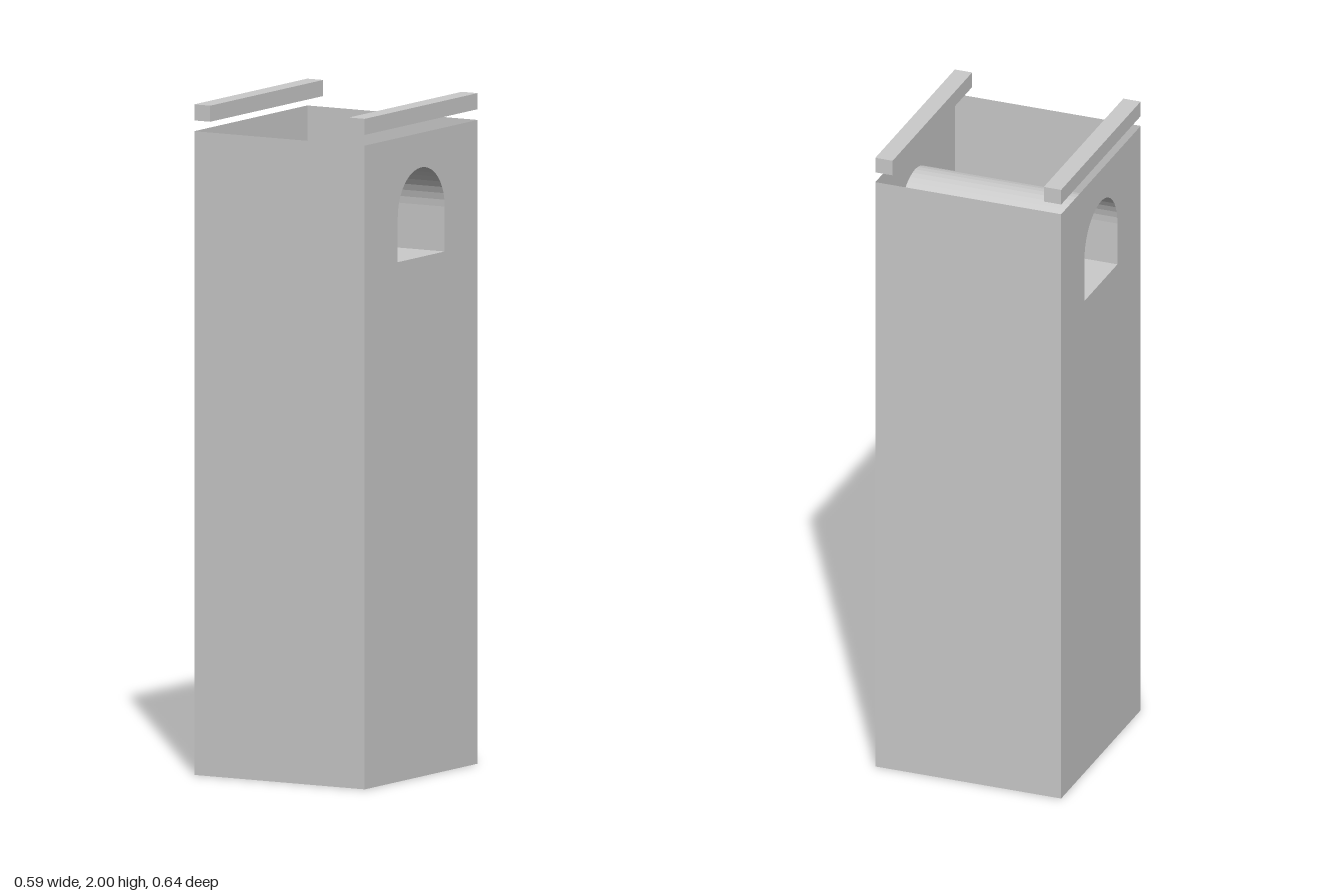
import * as THREE from 'three';

const HALF_X = 0.295, HALF_Z = 0.32, WALL_TOP = 1.92;
const ARCH_R = 0.133, ARCH_BASE = 1.55, ARCH_SPRING = 1.684, ARCH_SEGMENTS = 20;

const solid = new THREE.MeshStandardMaterial({ color: 0xcccccc, flatShading: true });
const sheet = new THREE.MeshStandardMaterial({ color: 0xcccccc, flatShading: true, side: THREE.DoubleSide });

function addMesh(parent, name, geometry, material, x = 0, y = 0, z = 0) {
  const mesh = new THREE.Mesh(geometry, material);
  mesh.name = name;
  mesh.position.set(x, y, z);
  parent.add(mesh);
  return mesh;
}

// Arch outline in the wall plane: flat sill, straight jambs, round head
function archPoints() {
  const points = [new THREE.Vector2(-ARCH_R, ARCH_BASE), new THREE.Vector2(ARCH_R, ARCH_BASE)];
  for (let i = 0; i <= ARCH_SEGMENTS; i++) {
    const a = (i / ARCH_SEGMENTS) * Math.PI;
    points.push(new THREE.Vector2(ARCH_R * Math.cos(a), ARCH_SPRING + ARCH_R * Math.sin(a)));
  }
  return points;
}

// Arch outline swept across the shaft, open at both ends
function tunnelGeometry() {
  const outline = archPoints();
  const positions = [], indices = [];
  outline.forEach((p, i) => {
    positions.push(-HALF_X, p.y, p.x, HALF_X, p.y, p.x);
    const a = i * 2, b = ((i + 1) % outline.length) * 2;
    indices.push(a, a + 1, b, b, a + 1, b + 1);
  });
  const geometry = new THREE.BufferGeometry();
  geometry.setAttribute('position', new THREE.Float32BufferAttribute(positions, 3));
  geometry.setIndex(indices);
  const flat = geometry.toNonIndexed();
  flat.computeVertexNormals();
  return flat;
}

export function createModel() {
  const model = new THREE.Group();
  model.name = 'tower';

  // Side wall with the arched opening cut through
  const wall = new THREE.Shape([
    new THREE.Vector2(-HALF_Z, 0), new THREE.Vector2(HALF_Z, 0),
    new THREE.Vector2(HALF_Z, WALL_TOP), new THREE.Vector2(-HALF_Z, WALL_TOP),
  ]);
  wall.holes.push(new THREE.Path(archPoints().reverse()));
  const sideWall = new THREE.ShapeGeometry(wall);
  const endWall = new THREE.PlaneGeometry(HALF_X * 2, WALL_TOP);
  const rail = new THREE.BoxGeometry(0.055, 0.048, HALF_Z * 2);

  for (const s of [1, -1]) {
    const label = s > 0 ? 'left' : 'right';
    addMesh(model, label + 'Wall', sideWall, sheet, s * HALF_X).rotation.y = s * Math.PI / 2;
    // Rail floating just above each side wall
    addMesh(model, label + 'Rail', rail, solid, s * (HALF_X - 0.0275), 1.976, 0);
    // Plain front and back walls
    const end = addMesh(model, s > 0 ? 'frontWall' : 'backWall', endWall, sheet, 0, WALL_TOP / 2, s * HALF_Z);
    end.rotation.y = s > 0 ? 0 : Math.PI;
  }

  // Arched passage between the two side openings
  addMesh(model, 'archedTunnel', tunnelGeometry(), sheet);
  return model;
}
